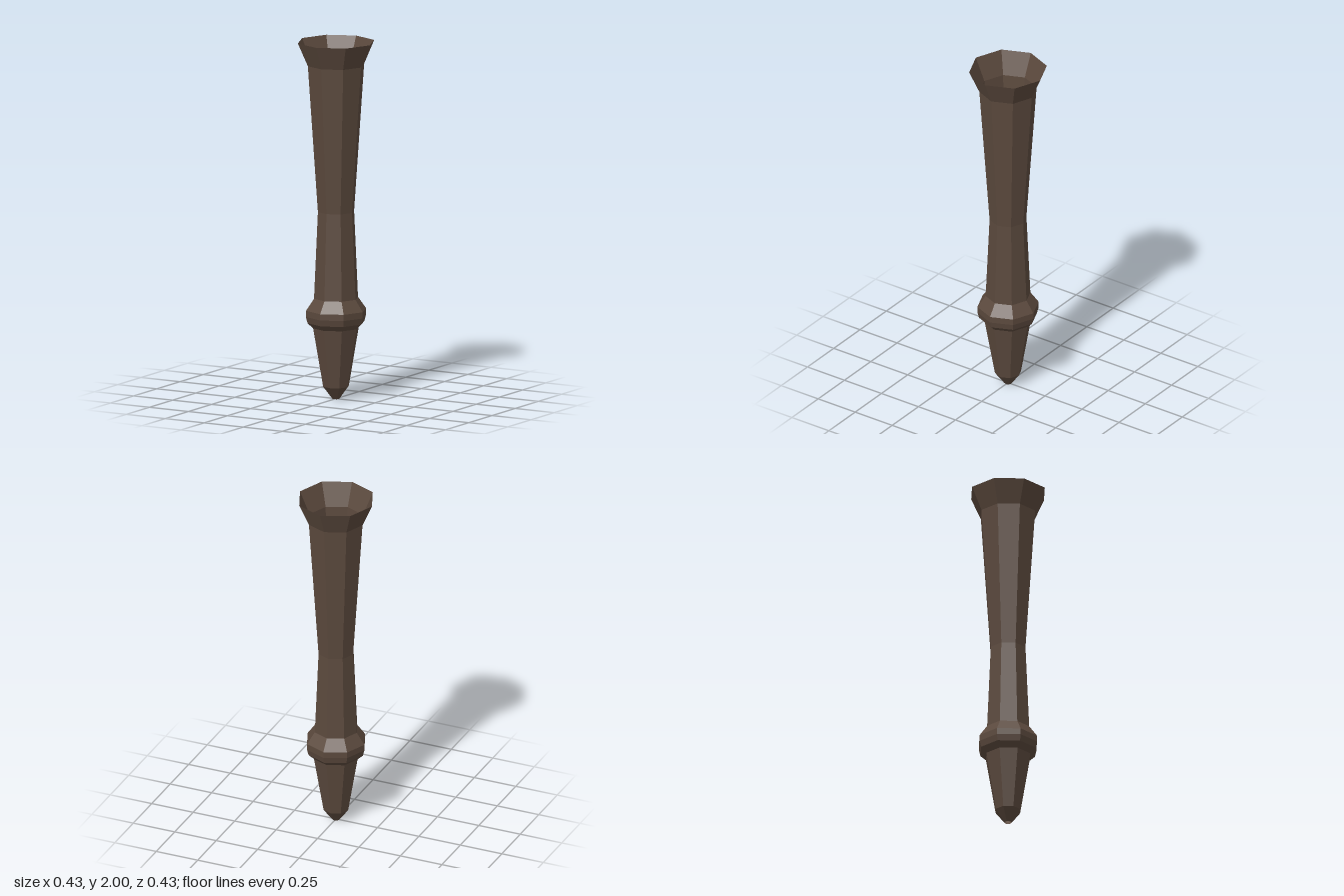
import * as THREE from 'three';

export function createModel() {
  const group = new THREE.Group();
  const darkBrown = new THREE.MeshStandardMaterial({
    color: 0x5b493d, flatShading: true, side: THREE.DoubleSide,
  });
  darkBrown.name = 'darkBrown';

  // Open, thin-walled octagonal section turned from [radius, height] points
  const section = (name, profile) => {
    const points = profile.map(([r, y]) => new THREE.Vector2(r, y));
    const mesh = new THREE.Mesh(new THREE.LatheGeometry(points, 8), darkBrown);
    mesh.name = name;
    group.add(mesh);
  };

  // Small open toe with a tapering foot above it
  section('toe', [[0.02, 0], [0.073, 0.07]]);
  section('foot', [[0.073, 0.07], [0.13, 0.4]]);

  // Bulging ring
  section('collar', [[0.13, 0.4], [0.162, 0.43], [0.171, 0.465], [0.171, 0.5], [0.125, 0.565]]);

  // Waisted shaft and flared open mouth
  section('shaft', [[0.125, 0.565], [0.103, 1.05], [0.16, 1.87]]);
  section('rim', [[0.16, 1.87], [0.217, 2]]);

  return group;
}
